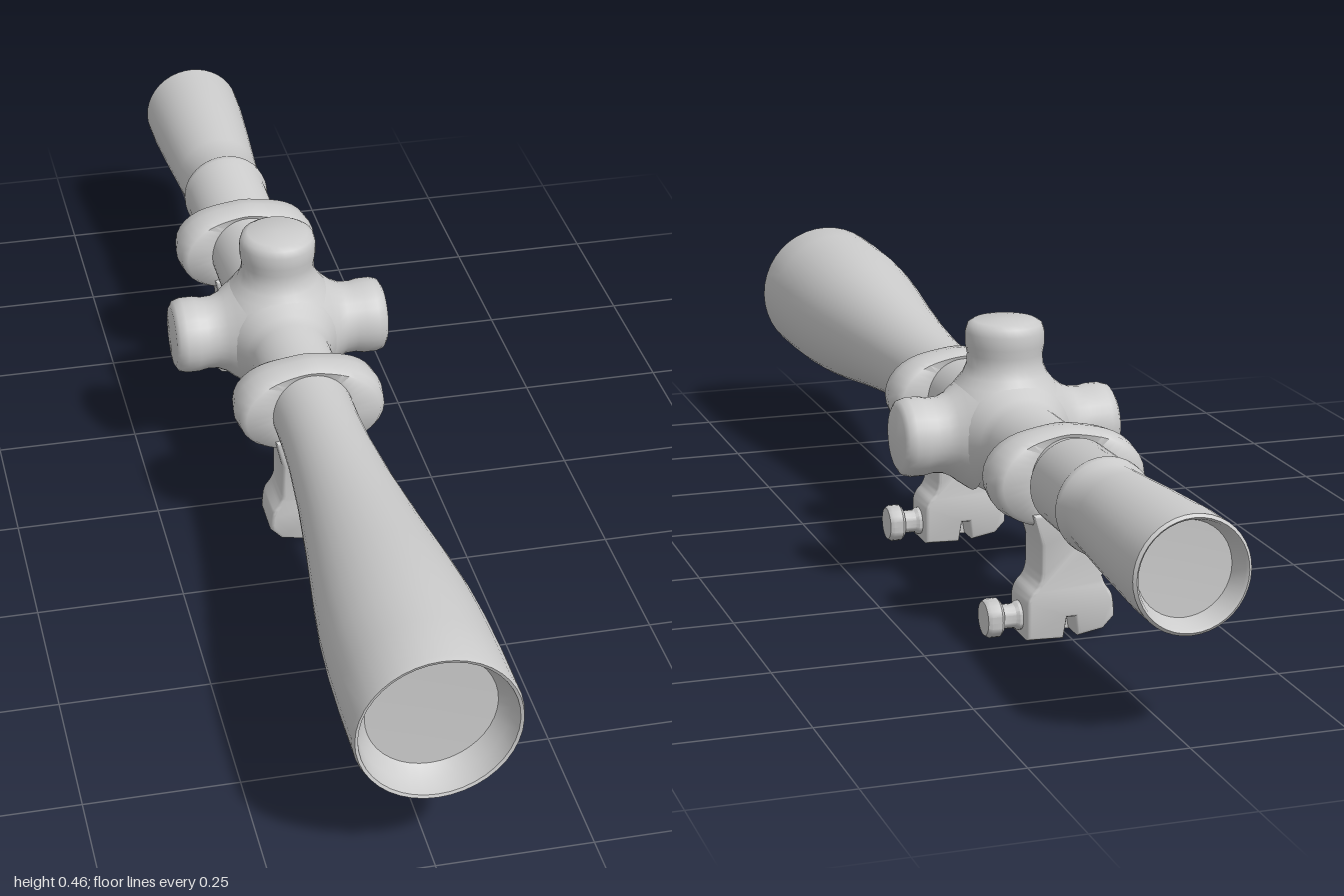
import * as THREE from 'three';
import { toCreasedNormals } from 'three/addons/utils/BufferGeometryUtils.js';

const AXIS = 0.263;      // height of the optical axis
const TURRET_Z = -0.155;

export function createModel() {
  const model = new THREE.Group();
  const material = new THREE.MeshStandardMaterial({ color: 0xcccccc, side: THREE.DoubleSide });

  const add = (parent, name, geometry, x = 0, y = 0, z = 0) => {
    const mesh = new THREE.Mesh(geometry, material);
    mesh.name = name;
    mesh.position.set(x, y, z);
    parent.add(mesh);
    return mesh;
  };
  // points are [radius, height]
  const lathe = (points, segments = 32, crease = 0.7) => toCreasedNormals(
    new THREE.LatheGeometry(points.map(p => new THREE.Vector2(...p)), segments), crease);

  // Scope tube: recessed eyepiece, ridge, turret bulge, flared objective
  const tube = lathe([
    [0, -0.962], [0.074, -0.965], [0.083, -0.995], [0.087, -1], [0.092, -0.996],
    [0.091, -0.93], [0.085, -0.83], [0.077, -0.72], [0.073, -0.66],
    [0.079, -0.648], [0.080, -0.635], [0.075, -0.622], [0.074, -0.5],
    [0.070, -0.49], [0.070, -0.275], [0.076, -0.255], [0.092, -0.232],
    [0.104, -0.2], [0.108, -0.155], [0.104, -0.11], [0.092, -0.078],
    [0.076, -0.055], [0.070, -0.035], [0.070, 0.2], [0.073, 0.28],
    [0.083, 0.4], [0.098, 0.53], [0.114, 0.65], [0.124, 0.74], [0.129, 0.82],
    [0.131, 0.9], [0.131, 0.99], [0.128, 1], [0.123, 0.998],
    [0.117, 0.97], [0.102, 0.95], [0, 0.947]
  ], 40);
  tube.rotateX(Math.PI / 2);
  add(model, 'scopeTube', tube, 0, AXIS);

  // Adjustment turrets on top and both sides, flaring into the bulge
  const turret = lathe([
    [0.098, 0.065], [0.084, 0.085], [0.072, 0.1], [0.065, 0.116], [0.064, 0.135],
    [0.067, 0.15], [0.067, 0.172], [0.063, 0.185], [0.053, 0.191], [0, 0.192]
  ], 28, 1);
  for (const [name, angle] of [['topTurret', 0], ['leftTurret', -Math.PI / 2], ['rightTurret', Math.PI / 2]]) {
    add(model, name, turret, 0, AXIS, TURRET_Z).rotation.z = angle;
  }

  // Clamp ring, stretched sideways into swollen ears
  let ring = new THREE.LatheGeometry([
    [0.066, -0.03], [0.075, -0.033], [0.081, -0.024], [0.084, 0],
    [0.081, 0.024], [0.075, 0.033], [0.066, 0.03]
  ].map(p => new THREE.Vector2(...p)), 48);
  ring.rotateX(Math.PI / 2);
  const pos = ring.attributes.position;
  for (let i = 0; i < pos.count; i++) {
    const x = pos.getX(i), y = pos.getY(i), r = Math.hypot(x, y);
    const ear = Math.abs(x / r) ** 3;
    const k = 1 + 0.56 * ear * (r > 0.07 ? 1 : 0);
    pos.setXYZ(i, x * k, y * k, pos.getZ(i) * (1 + 0.38 * ear));
  }
  ring = toCreasedNormals(ring, 1.1);

  // Mount leg: neck widening into a foot with a slit at the bottom
  const outline = new THREE.Shape();
  outline.moveTo(0.012, 0);
  outline.lineTo(0.074, 0.002);
  outline.lineTo(0.075, 0.06);
  outline.quadraticCurveTo(0.073, 0.078, 0.062, 0.087);
  outline.quadraticCurveTo(0.051, 0.098, 0.051, 0.12);
  outline.lineTo(0.051, 0.16);
  outline.lineTo(0.066, 0.212);
  outline.lineTo(-0.066, 0.212);
  outline.lineTo(-0.054, 0.16);
  outline.lineTo(-0.054, 0.1);
  outline.quadraticCurveTo(-0.058, 0.085, -0.067, 0.075);
  outline.quadraticCurveTo(-0.075, 0.065, -0.075, 0.03);
  outline.lineTo(-0.056, 0.01);
  outline.lineTo(-0.012, 0.002);
  outline.lineTo(-0.006, 0.035);
  outline.lineTo(0.006, 0.035);
  const bevel = 0.01, width = 0.088;
  let leg = new THREE.ExtrudeGeometry(outline, {
    depth: width - 2 * bevel, bevelThickness: bevel, bevelSize: bevel * 0.6,
    bevelOffset: -bevel * 0.6, bevelSegments: 3, curveSegments: 6
  });
  leg.translate(0, 0, bevel - width / 2);
  leg = toCreasedNormals(leg, 0.8);

  // Clamp screw with a rounded knob
  const screw = lathe([
    [0.024, 0.06], [0.024, 0.08], [0.020, 0.085], [0.020, 0.106], [0.027, 0.107],
    [0.032, 0.112], [0.032, 0.129], [0.028, 0.135], [0, 0.136]
  ], 20);

  for (const [name, z] of [['frontMount', 0.1], ['rearMount', -0.45]]) {
    const mount = new THREE.Group();
    mount.name = name;
    mount.position.z = z;
    add(mount, 'clampRing', ring, 0, AXIS);
    add(mount, 'mountLeg', leg);
    // closes the slit on the front side
    add(mount, 'footFrontWall', new THREE.BoxGeometry(0.036, 0.045, 0.04), 0, 0.0235, 0.024);
    add(mount, 'clampScrew', screw, 0, 0.034).rotation.z = -Math.PI / 2;
    model.add(mount);
  }
  return model;
}
